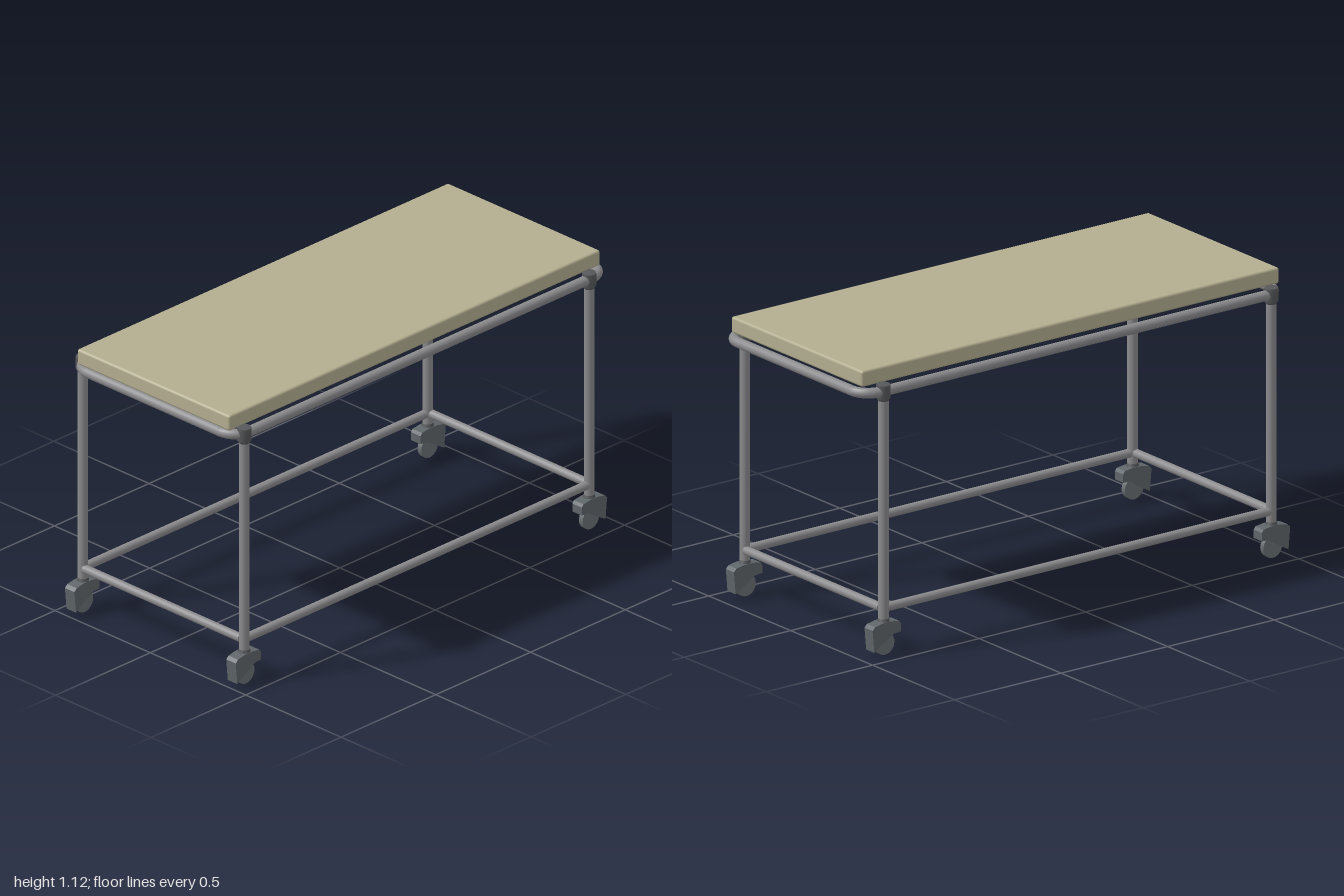
import * as THREE from 'three';
import { RoundedBoxGeometry } from 'three/addons/geometries/RoundedBoxGeometry.js';

const mat = (name, color) => new THREE.MeshStandardMaterial({ name, color });

export function createModel() {
  const pad = mat('khaki pad', 0xb3ae90);
  const steel = mat('grey steel', 0x8b8a8d);
  const joint = mat('dark joint', 0x56585b);
  const housing = mat('slate housing', 0x5f666a);
  const rubber = mat('wheel grey', 0x6b6f72);

  const group = new THREE.Group();
  group.name = 'rollingTable';
  const add = (name, geometry, material, x = 0, y = 0, z = 0, parent = group) => {
    const mesh = new THREE.Mesh(geometry, material);
    mesh.name = name;
    mesh.position.set(x, y, z);
    parent.add(mesh);
    return mesh;
  };
  // Round bar along one axis
  const bar = (name, axis, r, length, x, y, z) => {
    const g = new THREE.CylinderGeometry(r, r, length, 20);
    if (axis === 'x') g.rotateZ(Math.PI / 2);
    if (axis === 'z') g.rotateX(Math.PI / 2);
    return add(name, g, steel, x, y, z);
  };

  const legXs = [-0.93, 0.89], legZ = 0.423;

  // Padded top
  add('padTop', new RoundedBoxGeometry(1.96, 0.064, 0.8, 3, 0.01), pad, -0.01, 1.088, 0.004);

  // Upper rail: a closed loop with rounded corners
  const railX = 0.979, railY = 1.034, railR = 0.02, bend = 0.075;
  for (const s of [-1, 1]) {
    bar('upperLongRail', 'x', railR, 2 * (railX - bend), 0, railY, s * legZ);
    bar('upperEndRail', 'z', railR, 2 * (legZ - bend), s * railX, railY, 0);
    for (const t of [-1, 1]) {
      const g = new THREE.TorusGeometry(bend, railR, 16, 12, Math.PI / 2);
      g.rotateX(Math.PI / 2);
      g.rotateY(s > 0 ? (t > 0 ? 0 : Math.PI / 2) : (t > 0 ? -Math.PI / 2 : Math.PI));
      add('upperRailCorner', g, steel, s * (railX - bend), railY, t * (legZ - bend));
    }
  }

  // Lower rails
  const lowY = 0.182, lowR = 0.017;
  for (const s of [-1, 1])
    bar('lowerLongRail', 'x', lowR, legXs[1] - legXs[0], -0.02, lowY, s * legZ);
  legXs.forEach((x) => bar('lowerEndRail', 'z', lowR, 0.82, x + Math.sign(x) * 0.004, lowY, 0));

  // Caster housing side profile, tall on the outer side
  const shape = new THREE.Shape([
    [-0.063, 0.082], [-0.03, 0.08], [0.062, 0.024], [0.066, 0.07], [0.07, 0.112],
    [0.058, 0.124], [0.02, 0.131], [-0.02, 0.131], [-0.055, 0.126], [-0.063, 0.115],
  ].map(([x, y]) => new THREE.Vector2(x, y)));
  const housingGeo = new THREE.ExtrudeGeometry(shape, { depth: 0.05, bevelEnabled: false });
  housingGeo.translate(0, 0, -0.025);
  const wheelGeo = new THREE.CylinderGeometry(0.044, 0.044, 0.02, 28).rotateX(Math.PI / 2);

  // Joint sleeve with tapered foot and slightly chamfered top
  const sleeveGeo = new THREE.LatheGeometry([
    [0.02, 0.998], [0.027, 1.01], [0.027, 1.058], [0.025, 1.063], [0, 1.063],
  ].map(([r, y]) => new THREE.Vector2(r, y)), 24);

  // Legs, sleeves and casters
  for (const x of legXs) {
    for (const s of [-1, 1]) {
      const z = s * legZ;
      bar('leg', 'y', 0.02, 0.92, x, 0.58, z);
      add('jointSleeve', sleeveGeo, joint, x, 0, z);
      add('legSocket', new THREE.CylinderGeometry(0.02, 0.025, 0.015, 20), joint, x, 0.135, z);

      const caster = new THREE.Group();
      caster.name = 'caster';
      caster.position.set(x, 0, z);
      if (x < 0) caster.rotation.y = Math.PI;
      add('casterHousing', housingGeo, housing, 0, 0, 0, caster);
      add('casterWheel', wheelGeo, rubber, 0, 0.044, 0, caster);
      group.add(caster);
    }
  }
  return group;
}
